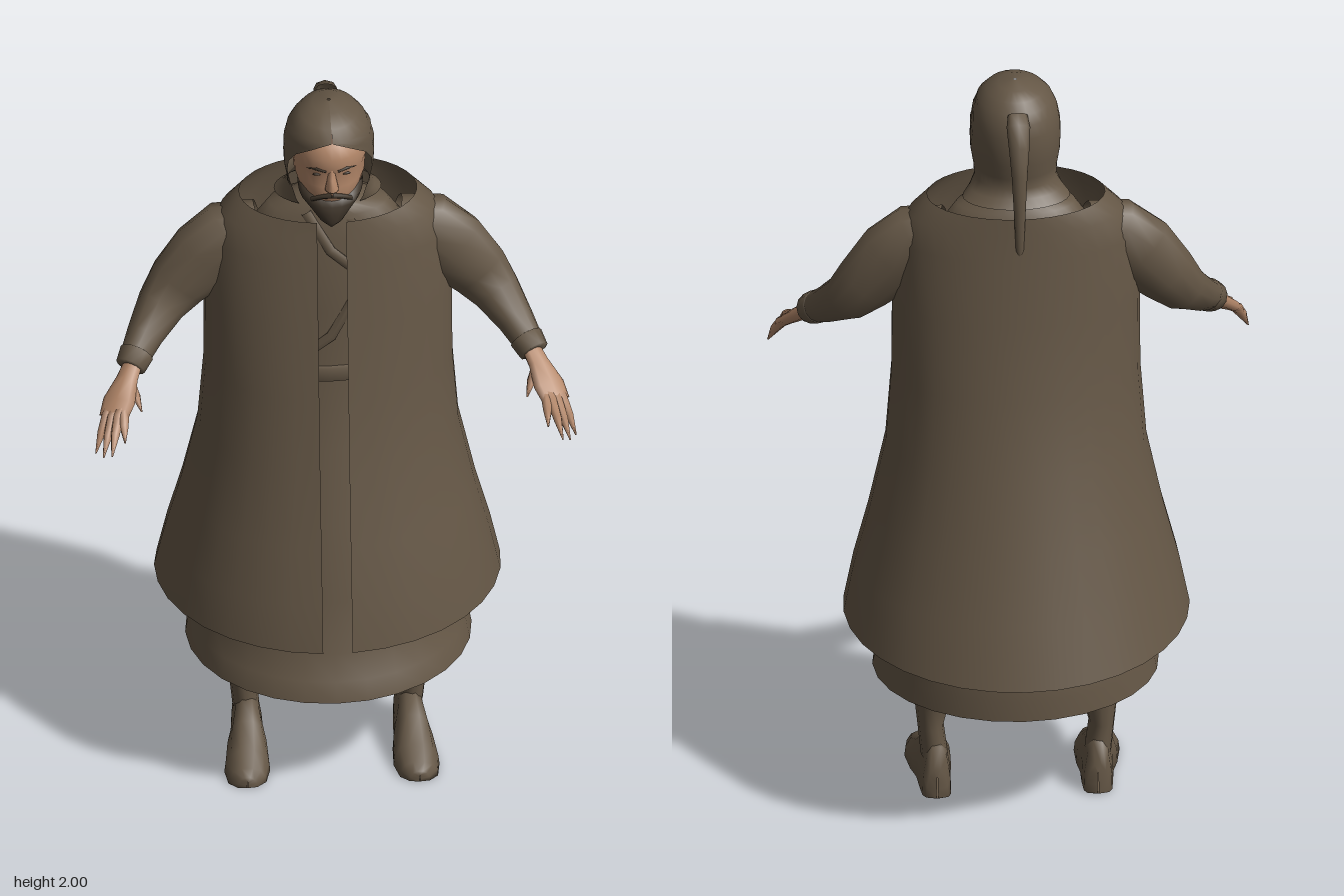
import * as THREE from 'three';

const mat = (name, color) => new THREE.MeshStandardMaterial({ name, color, side: THREE.DoubleSide });

// Skin a smooth surface over rows of points; closed rows wrap round.
function skinRows(rows, closed) {
  const n = rows[0].length, pos = [], idx = [];
  rows.forEach(r => r.forEach(p => pos.push(p.x, p.y, p.z)));
  for (let i = 0; i < rows.length - 1; i++) {
    for (let j = 0; j < (closed ? n : n - 1); j++) {
      const k = (j + 1) % n, a = i * n + j, b = a + n, c = (i + 1) * n + k, d = i * n + k;
      idx.push(a, b, c, a, c, d);
    }
  }
  const g = new THREE.BufferGeometry();
  g.setAttribute('position', new THREE.Float32BufferAttribute(pos, 3));
  g.setIndex(idx);
  g.computeVertexNormals();
  return g;
}

// Stack of level ellipses, top to bottom: [y, half width, front z, back z, gap angle at the front].
function stack(rows, n, open = false, adjust = null) {
  return skinRows(rows.map(([y, rx, zf, zb, gap = 0]) => {
    const ring = [];
    for (let j = 0; j < n; j++) {
      const a = open ? gap + (2 * Math.PI - 2 * gap) * j / (n - 1) : 2 * Math.PI * j / n;
      const p = new THREE.Vector3(rx * Math.sin(a), y, (zf + zb) / 2 + (zf - zb) / 2 * Math.cos(a));
      if (adjust) adjust(p);
      ring.push(p);
    }
    return ring;
  }), !open);
}

// Tapered limb along a path: [x, y, z, radius towards ref, radius across].
function limb(path, n = 10, ref = new THREE.Vector3(0, 0, 1)) {
  const c = path.map(p => new THREE.Vector3(p[0], p[1], p[2]));
  return skinRows(path.map((p, i) => {
    const t = c[Math.min(i + 1, c.length - 1)].clone().sub(c[Math.max(i - 1, 0)]).normalize();
    const u = ref.clone().addScaledVector(t, -ref.dot(t)).normalize();
    const v = u.clone().cross(t);
    return Array.from({ length: n }, (_, j) => {
      const a = 2 * Math.PI * j / n;
      return c[i].clone().addScaledVector(u, p[3] * Math.cos(a)).addScaledVector(v, (p[4] ?? p[3]) * Math.sin(a));
    });
  }), true);
}

export function createModel() {
  const cloth = mat('brown cloth', 0x655746);
  const skin = mat('skin', 0xb38769);
  const hair = mat('dark hair', 0x40362b);
  const model = new THREE.Group();
  const add = (name, geo, m, parent = model) => {
    const mesh = new THREE.Mesh(geo, m);
    mesh.name = name;
    parent.add(mesh);
    return mesh;
  };

  // Open cloak with a straight front slit and a hem that dips at the back
  const cloakRows = [
    [1.695, 0.225, 0.16, -0.135], [1.65, 0.272, 0.167, -0.14], [1.58, 0.302, 0.18, -0.147],
    [1.4, 0.314, 0.212, -0.17], [1.2, 0.315, 0.248, -0.2], [1.0, 0.33, 0.287, -0.245],
    [0.8, 0.373, 0.337, -0.302], [0.65, 0.412, 0.375, -0.35], [0.525, 0.438, 0.4, -0.4],
  ].map(r => [...r, Math.asin(0.037 / r[1])]);
  add('cloak', stack(cloakRows, 33, true, p => {
    if (p.y < 0.7 && p.z < 0) p.y += p.z * 0.11 * (0.7 - p.y) / 0.175;
  }), cloth);

  // Robe beneath, closing at the neck
  add('robe', stack([
    [1.7, 0.06, 0.09, -0.03], [1.67, 0.15, 0.1, -0.065], [1.6, 0.2, 0.115, -0.085], [1.4, 0.2, 0.14, -0.1],
    [1.22, 0.19, 0.14, -0.1], [1.0, 0.225, 0.185, -0.14], [0.8, 0.27, 0.235, -0.2], [0.6, 0.315, 0.285, -0.265],
    [0.46, 0.335, 0.312, -0.295], [0.4, 0.352, 0.35, -0.3], [0.345, 0.362, 0.366, -0.303],
  ], 28), cloth);
  add('belt', stack([
    [1.235, 0.19, 0.14, -0.1], [1.232, 0.2, 0.15, -0.11], [1.195, 0.202, 0.152, -0.112], [1.192, 0.19, 0.14, -0.1],
  ], 28), cloth);
  // Crossed front edge of the robe
  add('robeOverlap', limb([[-0.13, 1.21, 0.118, 0.006, 0.015], [0, 1.33, 0.143, 0.006, 0.015],
    [0.08, 1.48, 0.125, 0.006, 0.015], [0.05, 1.66, 0.095, 0.006, 0.015]], 6), cloth);
  add('robeLapel', limb([[0.12, 1.46, 0.115, 0.006, 0.015], [0, 1.58, 0.122, 0.006, 0.015],
    [-0.06, 1.68, 0.09, 0.006, 0.015]], 6), cloth);

  // Head and neck
  add('head', stack([
    [1.955, 0.04, 0.12, 0], [1.93, 0.08, 0.16, -0.04], [1.895, 0.093, 0.171, -0.05], [1.862, 0.094, 0.174, -0.05],
    [1.845, 0.092, 0.163, -0.05], [1.81, 0.09, 0.168, -0.05], [1.785, 0.082, 0.168, -0.045], [1.768, 0.076, 0.166, -0.04],
    [1.74, 0.062, 0.15, -0.035], [1.715, 0.055, 0.1, -0.03], [1.66, 0.07, 0.08, -0.035],
  ], 24), skin);
  add('nose', stack([
    [1.868, 0.008, 0.174, 0.15], [1.84, 0.011, 0.181, 0.14], [1.814, 0.017, 0.197, 0.14],
    [1.806, 0.018, 0.188, 0.14], [1.803, 0.006, 0.17, 0.15],
  ], 10), skin);
  add('beard', stack([
    [1.79, 0.084, 0.13, 0.06], [1.77, 0.081, 0.163, 0.05], [1.752, 0.073, 0.174, 0.05], [1.73, 0.055, 0.176, 0.06],
    [1.705, 0.032, 0.178, 0.1], [1.687, 0.008, 0.165, 0.13],
  ], 18), hair);

  // Hood with a face opening, flaring over the collar
  add('hood', stack([
    [2, 0.004, 0.052, 0.044, 0], [1.992, 0.042, 0.1, -0.005, 0], [1.975, 0.074, 0.145, -0.035, 0],
    [1.95, 0.095, 0.174, -0.055, 0.02], [1.925, 0.107, 0.176, -0.068, 0.5], [1.89, 0.114, 0.172, -0.075, 0.88],
    [1.85, 0.115, 0.168, -0.075, 1.14], [1.81, 0.113, 0.16, -0.072, 1.24], [1.77, 0.106, 0.145, -0.062, 1.22],
    [1.74, 0.104, 0.125, -0.058, 1.05], [1.715, 0.118, 0.1, -0.066, 0.8], [1.695, 0.136, 0.085, -0.085, 0.6],
  ], 27, true), cloth);
  add('hoodTail', limb([
    [0, 1.955, -0.06, 0.012, 0.025], [0, 1.935, -0.088, 0.022, 0.03], [0, 1.89, -0.118, 0.018, 0.026],
    [0, 1.82, -0.134, 0.014, 0.02], [0, 1.72, -0.141, 0.01, 0.015], [0, 1.61, -0.143, 0.006, 0.01],
    [0, 1.59, -0.143, 0.001, 0.001],
  ], 8), cloth);

  // Parts that come in pairs are made for the left and mirrored
  const left = new THREE.Group();
  left.name = 'leftSide';

  const eye = add('eye', new THREE.SphereGeometry(1, 10, 6), hair, left);
  eye.scale.set(0.012, 0.004, 0.004);
  eye.position.set(0.036, 1.846, 0.155);
  add('eyebrow', limb([[0.015, 1.864, 0.173, 0.003], [0.038, 1.868, 0.164, 0.004], [0.062, 1.86, 0.143, 0.002]], 6), hair, left);
  add('moustache', limb([[0, 1.79, 0.173, 0.007], [0.026, 1.783, 0.167, 0.006], [0.05, 1.765, 0.15, 0.006]], 6), hair, left);

  // Sleeve and cuff
  add('sleeve', limb([
    [0.17, 1.6, 0.01, 0.06, 0.06], [0.25, 1.575, 0.015, 0.075, 0.09], [0.31, 1.515, 0.025, 0.07, 0.1],
    [0.38, 1.44, 0.032, 0.062, 0.082], [0.425, 1.385, 0.055, 0.056, 0.064], [0.47, 1.335, 0.115, 0.047, 0.047],
    [0.508, 1.29, 0.178, 0.034, 0.036],
  ], 12), cloth, left);
  add('cuff', limb([
    [0.491, 1.31, 0.15, 0.03, 0.03], [0.492, 1.309, 0.152, 0.044, 0.044],
    [0.51, 1.288, 0.182, 0.039, 0.039], [0.511, 1.287, 0.184, 0.02, 0.02],
  ], 12), cloth, left);

  // Hand with spread, tapering fingers
  const across = new THREE.Vector3(-0.75, 0, 0.65);
  add('palm', limb([
    [0.495, 1.305, 0.16, 0.024, 0.02], [0.52, 1.268, 0.205, 0.03, 0.02],
    [0.543, 1.232, 0.25, 0.045, 0.018], [0.56, 1.205, 0.285, 0.04, 0.012],
  ], 8, across), skin, left);
  [[0.535, 1.215, 0.285, 0.535, 1.175, 0.355], [0.548, 1.21, 0.29, 0.57, 1.158, 0.388],
    [0.563, 1.205, 0.285, 0.59, 1.137, 0.362], [0.575, 1.205, 0.27, 0.607, 1.125, 0.325],
    [0.512, 1.258, 0.215, 0.487, 1.205, 0.265]].forEach(([x, y, z, tx, ty, tz]) => {
    add('finger', limb([
      [x - 0.015, y + 0.02, z - 0.03, 0.013], [x, y, z, 0.015],
      [(x + tx) / 2, (y + ty) / 2 + 0.005, (z + tz) / 2, 0.012], [tx, ty, tz, 0.002],
    ], 6, across), skin, left);
  });

  // Leg and pointed boot
  add('leg', limb([
    [0.11, 0.9, 0, 0.09, 0.09], [0.16, 0.6, 0.01, 0.075, 0.075], [0.2, 0.36, 0.005, 0.062, 0.06],
    [0.212, 0.25, 0.005, 0.055, 0.045], [0.216, 0.18, 0.008, 0.046, 0.033], [0.207, 0.1, 0.005, 0.046, 0.034],
  ], 12), cloth, left);
  // Boot cross-sections from heel to toe: [z, centre x, half width, height]
  const sections = [[-0.062, 0.203, 0.002, 0.06], [-0.058, 0.203, 0.028, 0.08], [-0.045, 0.204, 0.036, 0.138],
    [0, 0.205, 0.04, 0.142], [0.052, 0.207, 0.042, 0.136], [0.1, 0.21, 0.052, 0.105],
    [0.17, 0.214, 0.058, 0.065], [0.22, 0.217, 0.048, 0.045], [0.24, 0.218, 0.025, 0.03], [0.242, 0.218, 0.001, 0.02]];
  const outline = [[-1, 0.02], [-0.95, 0.4], [-0.72, 0.8], [-0.3, 1], [0.3, 1], [0.72, 0.8], [0.95, 0.4], [1, 0.02], [0.6, 0], [-0.6, 0]];
  add('boot', skinRows(sections.map(([z, cx, w, h]) =>
    outline.map(([u, v]) => new THREE.Vector3(cx + u * w, 0.002 + v * h, z)).reverse()), true), cloth, left);

  const right = left.clone();
  right.name = 'rightSide';
  right.scale.x = -1;
  model.add(left, right);
  return model;
}
